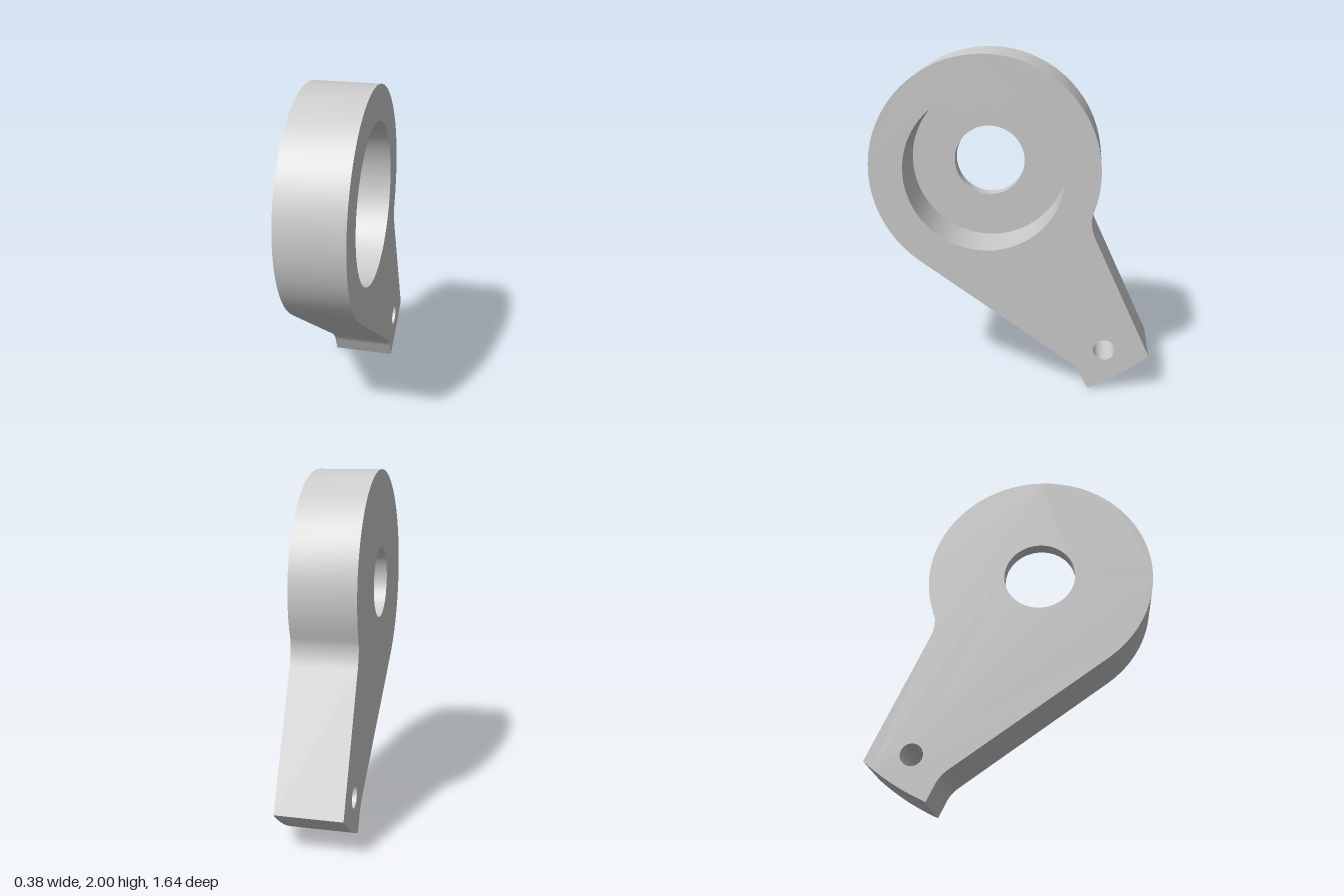
import * as THREE from 'three';
import { mergeGeometries, toCreasedNormals } from 'three/addons/utils/BufferGeometryUtils.js';

const HALF = 0.19;              // half thickness along x
const FLOOR = -0.11;            // x of the recess floor
const HUB = { u: -0.16, y: 1.34, r: 0.6625 };
const RECESS = 0.465, BORE = 0.21;
const SEG = 24;                 // 48 sides per full circle

// Side outline, drawn with u = -z
function outline() {
  const s = new THREE.Shape();
  const start = Math.atan2(-0.22, 0.623), end = Math.atan2(-0.543, -0.38) + Math.PI * 2;
  s.absarc(HUB.u, HUB.y, HUB.r, start, end, false);
  s.lineTo(0.34, 0.18);
  s.quadraticCurveTo(0.395, 0.142, 0.42, 0.085);
  s.lineTo(0.46, 0.003);
  // tail end, an arc about the hub centre
  s.absarc(HUB.u, HUB.y, 1.473, Math.atan2(-1.337, 0.62), Math.atan2(-1.105, 0.975), false);
  s.lineTo(0.483, 0.955);
  s.quadraticCurveTo(0.439, 1.051, 0.465, 1.124);
  return s;
}

function hole(u, y, r) {
  return new THREE.Path().absarc(u, y, r, 0, Math.PI * 2, true);
}

function withHoles(hubRadius) {
  const s = outline();
  s.holes.push(hole(0.55, 0.265, 0.064));
  if (hubRadius) s.holes.push(hole(HUB.u, HUB.y, hubRadius));
  return s;
}

// Flat cheek with a hub opening; flip turns it to face -x
function cheek(hubRadius, x, flip) {
  const g = new THREE.ShapeGeometry(withHoles(hubRadius), SEG);
  if (flip) g.index.array.reverse();
  return positionsOnly(g.toNonIndexed().translate(0, 0, x));
}

// Rim and pin hole walls, without the end caps
function walls() {
  const g = new THREE.ExtrudeGeometry(withHoles(0), { depth: 2 * HALF, bevelEnabled: false, curveSegments: SEG });
  const { start, count } = g.groups[1];
  const out = new THREE.BufferGeometry();
  const p = g.attributes.position.array.slice(start * 3, (start + count) * 3);
  out.setAttribute('position', new THREE.BufferAttribute(p, 3));
  return out.translate(0, 0, -HALF);
}

function positionsOnly(g) {
  const out = new THREE.BufferGeometry();
  out.setAttribute('position', g.attributes.position);
  return out;
}

export function createModel() {
  const group = new THREE.Group();
  group.name = 'leverArm';
  const material = new THREE.MeshStandardMaterial({ color: 0xcccccc });
  const add = (name, geometry) => {
    const mesh = new THREE.Mesh(toCreasedNormals(geometry, 0.45), material);
    mesh.name = name;
    group.add(mesh);
    return mesh;
  };

  // Plate: two cheeks, rim and pin hole
  const plate = mergeGeometries([cheek(RECESS, HALF, false), cheek(BORE, -HALF, true), walls()]);
  add('armBody', plate.rotateY(Math.PI / 2));

  // Stepped hub opening: recess wall, floor and bore
  const steps = [[RECESS, HALF], [RECESS, FLOOR], [BORE, FLOOR], [BORE, -HALF]];
  const seat = new THREE.LatheGeometry(steps.map(([r, x]) => new THREE.Vector2(r, x)), 2 * SEG);
  add('hubRecess', seat.rotateZ(-Math.PI / 2)).position.set(0, HUB.y, -HUB.u);

  return group;
}
